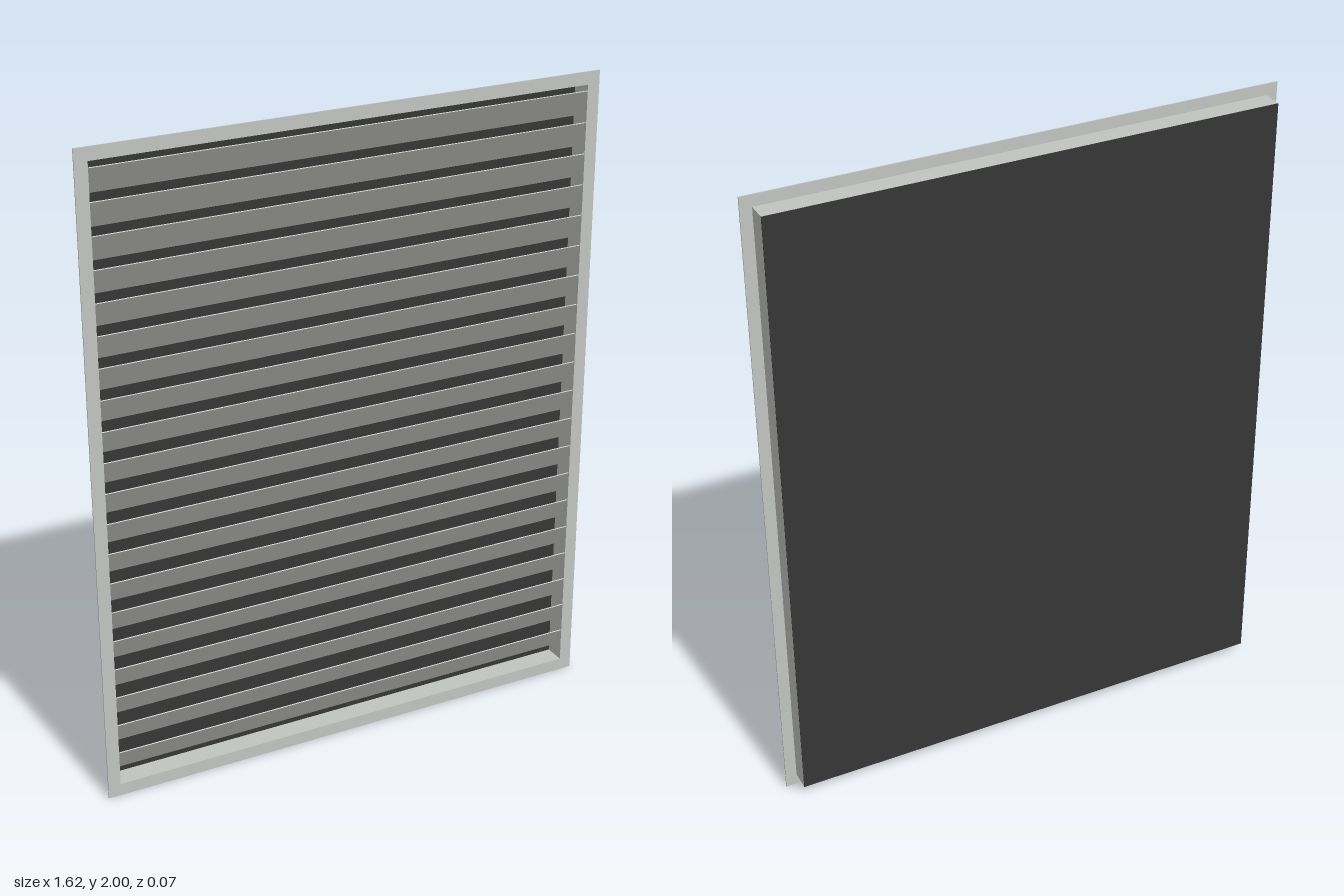
import * as THREE from 'three';

export function createModel() {
  const group = new THREE.Group();
  group.name = 'louvreGrille';

  const metal = new THREE.MeshStandardMaterial({ color: 0xc2c4c1 });
  metal.name = 'light grey metal';
  const dark = new THREE.MeshStandardMaterial({ color: 0x363636 });
  dark.name = 'dark backing';

  const W = 1.62, H = 2, CY = 1;            // outer flange
  const w = 1.55, h = 1.93;                 // recessed box
  const front = 0.034, back = -0.034;
  const sheet = 0.004;                      // metal thickness

  function add(name, geometry, material, x, y, z) {
    const mesh = new THREE.Mesh(geometry, material);
    mesh.name = name;
    mesh.position.set(x, y, z);
    group.add(mesh);
    return mesh;
  }

  function rectangle(PathType, width, height) {
    const a = width / 2, b = height / 2;
    return new PathType([[-a, -b], [a, -b], [a, b], [-a, b]].map(([x, y]) => new THREE.Vector2(x, y)));
  }

  // Thin flange with a rectangular opening
  const flange = rectangle(THREE.Shape, W, H);
  flange.holes.push(rectangle(THREE.Path, w - 2 * sheet, h - 2 * sheet));
  const flangeGeometry = new THREE.ExtrudeGeometry(flange, { depth: sheet, bevelEnabled: false });
  add('flange', flangeGeometry, metal, 0, CY, front - sheet);

  // Four walls of the shallow box behind the flange
  const backSheet = 0.002;
  const wallBack = back + backSheet, wallFront = front - sheet;
  const depth = wallFront - wallBack, wallZ = (wallFront + wallBack) / 2;
  for (const side of [-1, 1]) {
    add(side > 0 ? 'leftWall' : 'rightWall', new THREE.BoxGeometry(sheet, h, depth), metal,
      side * (w - sheet) / 2, CY, wallZ);
    add(side > 0 ? 'topWall' : 'bottomWall', new THREE.BoxGeometry(w - 2 * sheet, sheet, depth), metal,
      0, CY + side * (h - sheet) / 2, wallZ);
  }

  // Dark panel closing the back
  add('backPanel', new THREE.BoxGeometry(w, h, backSheet), dark, 0, CY, back + backSheet / 2);

  // Slats leaning forward at the top
  const count = 20, pitch = 0.0945, rise = 0.088, run = 0.06;
  const slatGeometry = new THREE.BoxGeometry(w - 2 * sheet, Math.hypot(rise, run), 0.003);
  for (let i = 0; i < count; i++) {
    const y = CY + (i - (count - 1) / 2) * pitch;
    add('slat' + (i + 1), slatGeometry, metal, 0, y, 0.001).rotation.x = Math.atan2(run, rise);
  }

  return group;
}
